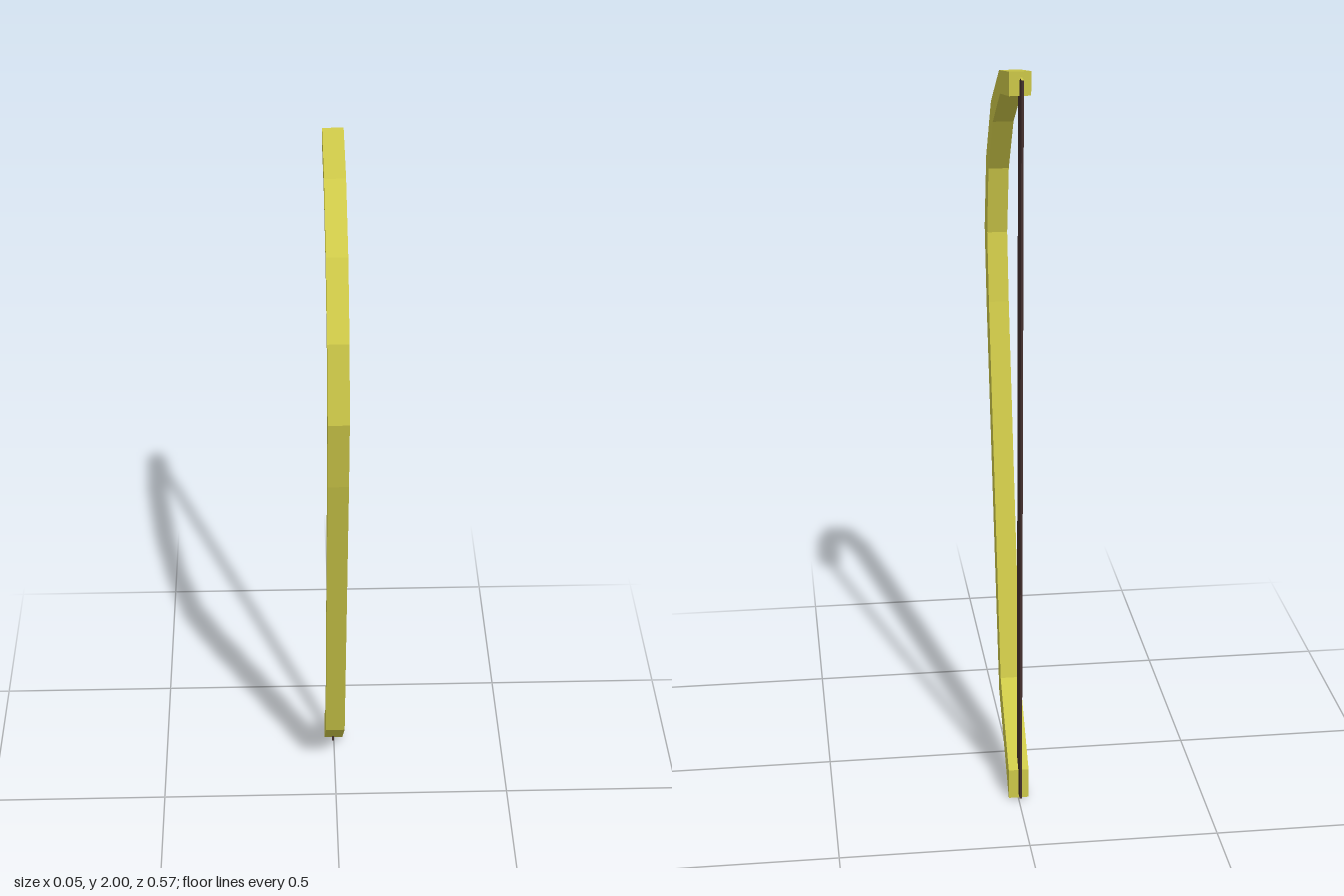
import * as THREE from 'three';

const paint = (color) => new THREE.MeshStandardMaterial({ color, flatShading: true });

export function createModel() {
  const group = new THREE.Group();
  const wood = paint(0xcdc848);
  const cord = paint(0x432f2d);

  // Bow limb: asymmetric bent bar, outlined as [z, y] and extruded across x
  const outer = [[-0.255, 2], [-0.05, 1.96], [0.13, 1.84], [0.245, 1.665],
    [0.287, 1.46], [0.245, 1.25], [-0.035, 0.215], [-0.255, 0]];
  const inner = [[-0.255, 1.94], [-0.07, 1.905], [0.09, 1.795], [0.19, 1.645],
    [0.225, 1.46], [0.19, 1.275], [-0.07, 0.27], [-0.255, 0.085]];
  const outline = [...outer, ...inner.reverse()].map(([z, y]) => new THREE.Vector2(z, y));
  const width = 0.054;
  const limbGeometry = new THREE.ExtrudeGeometry(new THREE.Shape(outline), { depth: width, bevelEnabled: false });
  limbGeometry.rotateY(-Math.PI / 2).translate(width / 2 - 0.001, 0, 0);
  const limb = new THREE.Mesh(limbGeometry, wood);
  limb.name = 'bowLimb';
  group.add(limb);

  // Bowstring: thin flat strip with light end caps
  const string = new THREE.Mesh(
    new THREE.BoxGeometry(0.006, 1.97, 0.065),
    [cord, cord, wood, wood, cord, cord]
  );
  string.position.set(-0.003, 1, -0.2545);
  string.name = 'bowString';
  group.add(string);

  return group;
}
